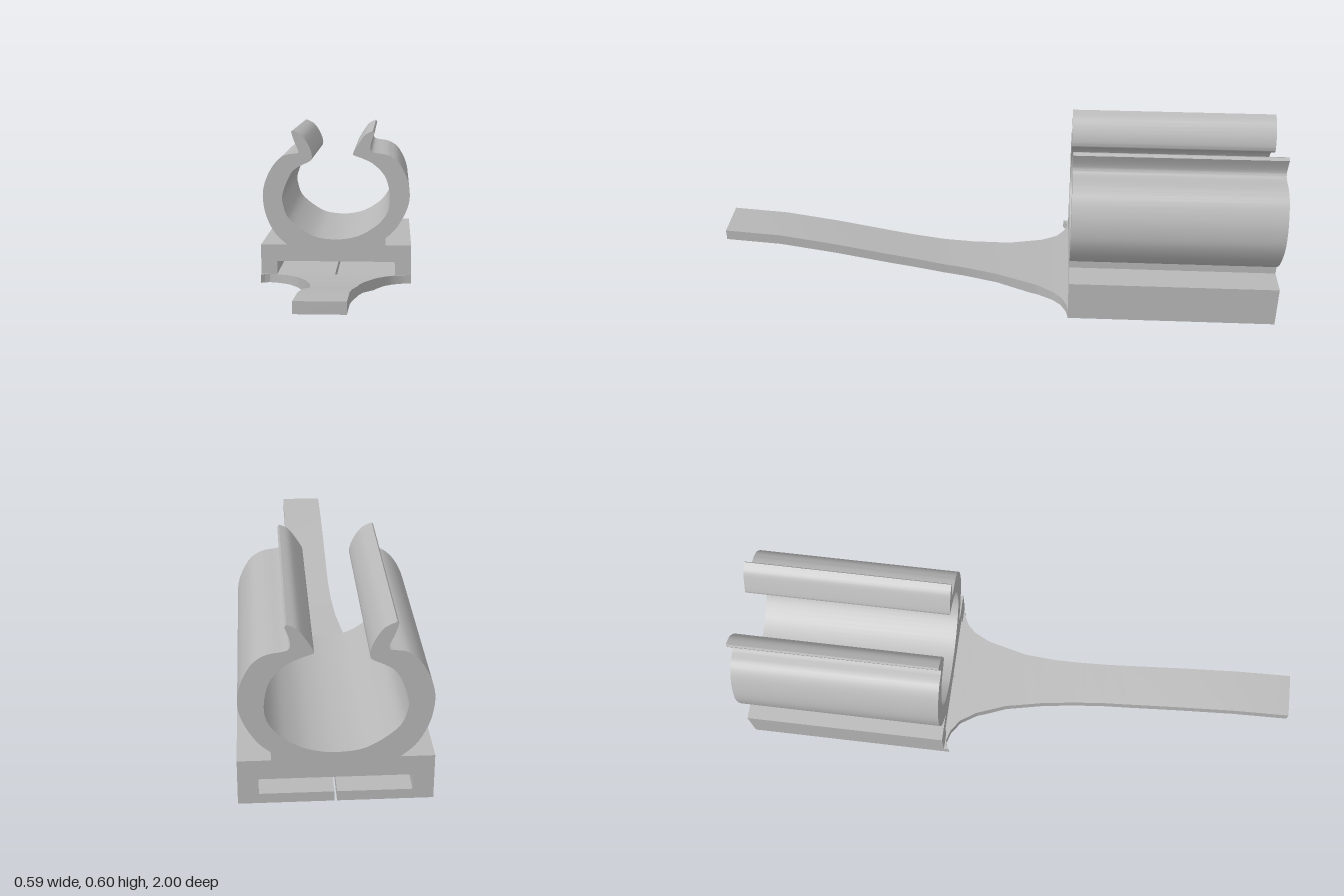
import * as THREE from 'three';
import { toCreasedNormals } from 'three/addons/utils/BufferGeometryUtils.js';

const BACK = -1, FRONT = -0.265, FLOOR = 0.033;
const v2 = (pts) => pts.map(([x, y]) => new THREE.Vector2(x, y));
const smooth = (pts, n = 3) => new THREE.SplineCurve(v2(pts)).getPoints((pts.length - 1) * n);

// Linear lookup in a list of [z, value] pairs sorted by z
function lookup(table, z) {
  for (let i = 1; i < table.length; i++) {
    const [z0, a] = table[i - 1], [z1, b] = table[i];
    if (z <= z1) return a + (b - a) * Math.max(0, (z - z0) / (z1 - z0));
  }
  return table[table.length - 1][1];
}

// Clip and slotted base: one constant section along z
function clipGeometry() {
  const outerRight = [[0.192, 0.178], [0.225, 0.207], [0.255, 0.25], [0.278, 0.3], [0.286, 0.345],
    [0.278, 0.405], [0.248, 0.467], [0.22, 0.493], [0.19, 0.506], [0.147, 0.513], [0.132, 0.527],
    [0.136, 0.555], [0.148, 0.588]];
  const lipRight = [[0.142, 0.597], [0.115, 0.584], [0.095, 0.56], [0.067, 0.515], [0.066, 0.503]];
  const inner = [[0.1, 0.491], [0.14, 0.472], [0.18, 0.435], [0.2, 0.395], [0.21, 0.335], [0.203, 0.287],
    [0.18, 0.25], [0.15, 0.222], [0.1, 0.192], [0.05, 0.177], [0, 0.172], [-0.06, 0.177], [-0.1, 0.19],
    [-0.15, 0.222], [-0.19, 0.26], [-0.207, 0.305], [-0.21, 0.35], [-0.18, 0.425], [-0.15, 0.455],
    [-0.105, 0.477], [-0.095, 0.49], [-0.097, 0.513], [-0.11, 0.545], [-0.135, 0.58], [-0.17, 0.598]];
  const outerLeft = [[-0.175, 0.592], [-0.165, 0.56], [-0.148, 0.519], [-0.155, 0.509], [-0.2, 0.502],
    [-0.235, 0.475], [-0.262, 0.435], [-0.28, 0.39], [-0.287, 0.345], [-0.28, 0.285], [-0.262, 0.235],
    [-0.235, 0.19], [-0.192, 0.15]];
  const shape = new THREE.Shape([
    ...v2([[0.004, 0], [0.293, 0], [0.293, 0.15], [0.192, 0.15]]),
    ...smooth(outerRight), ...smooth(lipRight), ...smooth(inner), ...smooth(outerLeft),
    // base side, then the slit and the strap slot
    ...v2([[-0.295, 0.15], [-0.295, 0], [-0.004, 0], [-0.004, FLOOR], [-0.231, FLOOR],
      [-0.231, 0.085], [0.23, 0.085], [0.23, FLOOR], [0.004, FLOOR]]),
  ]);
  const g = new THREE.ExtrudeGeometry(shape, { depth: FRONT - BACK, bevelEnabled: false });
  g.translate(0, 0, BACK);
  return toCreasedNormals(g, 0.6);
}

// Curved tongue: rectangular sections swept along z
function tongueGeometry() {
  const left = [[FRONT, -0.295], [-0.262, -0.262], [-0.25, -0.222], [-0.22, -0.178], [-0.16, -0.14],
    [-0.05, -0.102], [0.1, -0.077], [0.22, -0.067], [0.32, -0.063], [1, -0.063]];
  const right = [[FRONT, 0.293], [-0.259, 0.26], [-0.24, 0.22], [-0.21, 0.19], [-0.15, 0.157],
    [0, 0.114], [0.12, 0.1], [0.24, 0.095], [0.32, 0.093], [1, 0.093]];
  const top = [[FRONT, FLOOR], [-0.2, 0.037], [0, 0.055], [0.2, 0.08], [0.4, 0.115],
    [0.6, 0.153], [0.8, 0.185], [1, 0.2]];
  const bottom = [[FRONT, 0], [-0.13, 0], [0, 0.017], [0.2, 0.043], [0.4, 0.077],
    [0.6, 0.115], [0.8, 0.147], [1, 0.162]];
  const zs = [...new Set([left, right, top, bottom].flat().map((p) => p[0]))].sort((a, b) => a - b);
  const pos = [], index = [];
  zs.forEach((z, i) => {
    const l = lookup(left, z), r = lookup(right, z), t = lookup(top, z), b = lookup(bottom, z);
    pos.push(l, b, z, r, b, z, r, t, z, l, t, z);
    if (i === 0) return;
    for (let k = 0; k < 4; k++) {
      const a = (i - 1) * 4 + k, c = (i - 1) * 4 + (k + 1) % 4;
      index.push(a, c, c + 4, a, c + 4, a + 4);
    }
  });
  const e = (zs.length - 1) * 4;
  index.push(0, 2, 1, 0, 3, 2, e, e + 1, e + 2, e, e + 2, e + 3);
  const g = new THREE.BufferGeometry();
  g.setAttribute('position', new THREE.Float32BufferAttribute(pos, 3));
  g.setIndex(index);
  return toCreasedNormals(g, 0.6);
}

// Small curled corner where the tongue meets the base
function cornerGeometry() {
  const shape = new THREE.Shape(v2([[-0.295, -FRONT], [-0.295, 0.246], [-0.28, 0.256],
    [-0.262, 0.261], [-0.25, -FRONT]]));
  const g = new THREE.ExtrudeGeometry(shape, { depth: FLOOR, bevelEnabled: false });
  g.rotateX(-Math.PI / 2);
  g.scale(1, 1, 1);
  return g;
}

export function createModel() {
  const grey = new THREE.MeshStandardMaterial({ color: 0xb8b8b8 });
  grey.name = 'light grey plastic';
  const model = new THREE.Group();
  model.name = 'clipHolder';
  const add = (name, geometry) => {
    const mesh = new THREE.Mesh(geometry, grey);
    mesh.name = name;
    model.add(mesh);
  };
  add('clipAndBase', clipGeometry());
  add('tongue', tongueGeometry());
  add('tongueCorner', cornerGeometry());
  return model;
}
